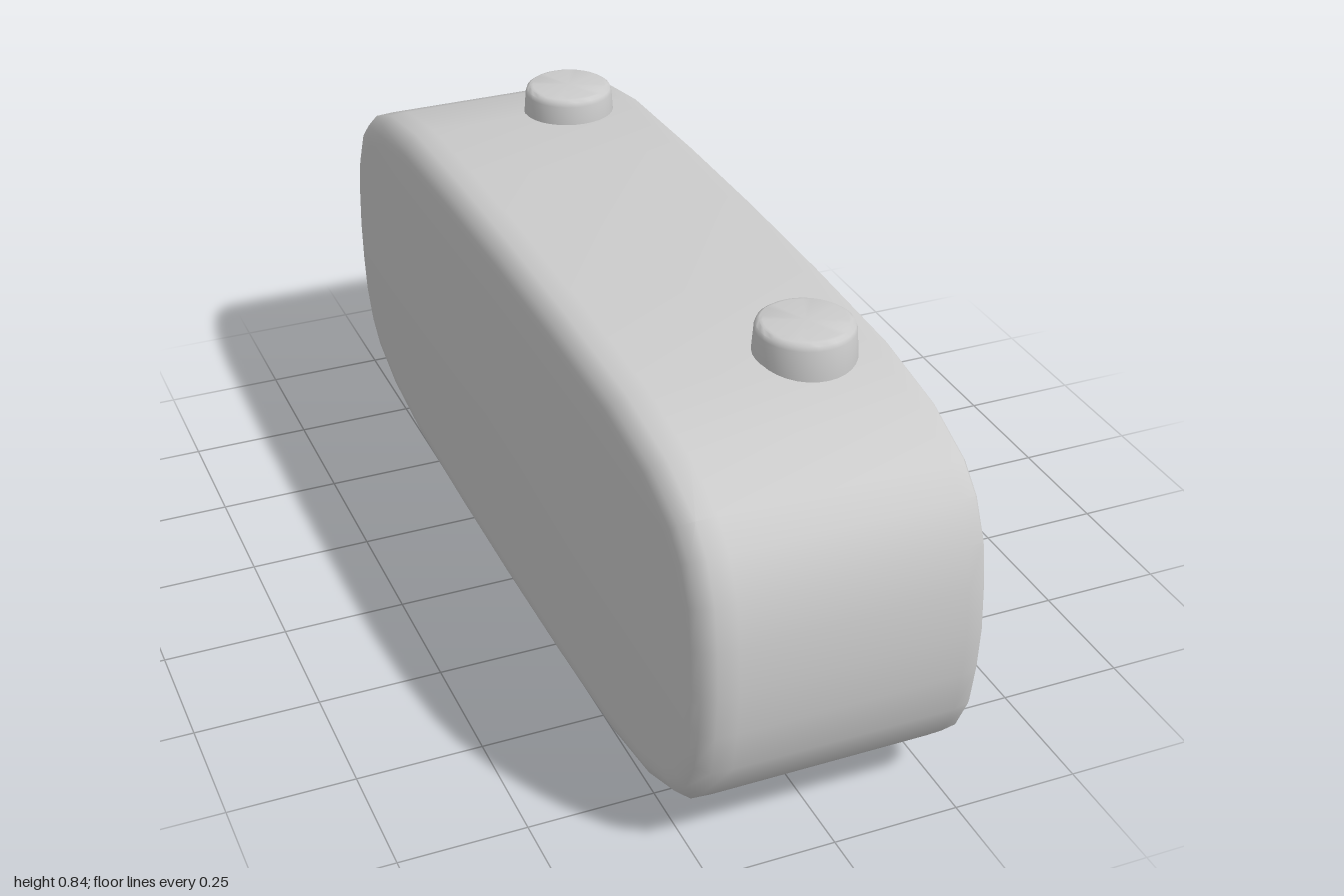
import * as THREE from 'three';
import { toCreasedNormals } from 'three/addons/utils/BufferGeometryUtils.js';

const CENTER_Y = 0.397, HALF_Y = 0.395, HALF_Z = 1;

// Quarter of the rounded outline as (z, y) fractions, mirrored to a full loop.
const quarter = [[1, 0], [0.994, 0.23], [0.98, 0.45], [0.944, 0.64], [0.895, 0.76],
  [0.777, 0.885], [0.595, 0.962], [0.3, 0.991], [0, 1]];
const half = [...quarter, ...quarter.slice(0, -1).reverse().map(([z, y]) => [-z, y])];
const outline = [...half, ...half.slice(1, -1).reverse().map(([z, y]) => [z, -y])];

// Skin rings given as [x, inset]; an inset of 'center' closes to a point.
function loft(rings) {
  const n = outline.length, pos = [], index = [];
  for (const [x, inset] of rings) {
    for (const [z, y] of outline) {
      if (inset === 'center') pos.push(x, CENTER_Y, 0);
      else pos.push(x, CENTER_Y + y * (HALF_Y - inset), z * (HALF_Z - inset));
    }
  }
  for (let j = 0; j < rings.length - 1; j++) {
    for (let i = 0; i < n; i++) {
      const a = j * n + i, b = j * n + (i + 1) % n, c = b + n, d = a + n;
      if (rings[j + 1][1] !== 'center') index.push(a, d, c);
      else index.push(a, d, b);
      if (rings[j][1] === 'center') index.splice(-3, 3, a, d, c);
      else if (rings[j + 1][1] !== 'center') index.push(a, c, b);
    }
  }
  const g = new THREE.BufferGeometry();
  g.setAttribute('position', new THREE.Float32BufferAttribute(pos, 3));
  g.setIndex(index);
  return toCreasedNormals(g, 0.72);
}

export function createModel() {
  const group = new THREE.Group();
  const material = new THREE.MeshStandardMaterial({ color: 0xcccccc });
  const add = (name, geometry) => {
    const mesh = new THREE.Mesh(geometry, material);
    mesh.name = name;
    group.add(mesh);
    return mesh;
  };

  // Shell: closed rounded back, straight sides, narrow front rim and its inner wall
  add('shell', loft([
    [-0.275, 'center'], [-0.275, 0.06], [-0.273, 0.04], [-0.265, 0.02], [-0.24, 0.002],
    [-0.2, 0], [0.24, 0], [0.27, 0.004], [0.275, 0.009], [0.275, 0.024], [0.27, 0.028], [0.245, 0.029],
  ]));

  // Recessed flat panel inside the rim
  add('facePanel', loft([[0.25, 0.028], [0.25, 'center']]));

  // Two knobs on top with softened upper edges
  const profile = [[0.098, -0.12], [0.098, -0.07], [0.094, -0.015], [0.091, -0.006], [0.084, -0.001], [0.078, 0], [0, 0]]
    .map(([r, y]) => new THREE.Vector2(r, y));
  const knob = toCreasedNormals(new THREE.LatheGeometry(profile, 32), 0.9);
  for (const [name, x, y, z] of [['frontKnob', 0.117, 0.84, 0.57], ['backKnob', 0.112, 0.835, -0.593]]) {
    add(name, knob).position.set(x, y, z);
  }
  return group;
}
